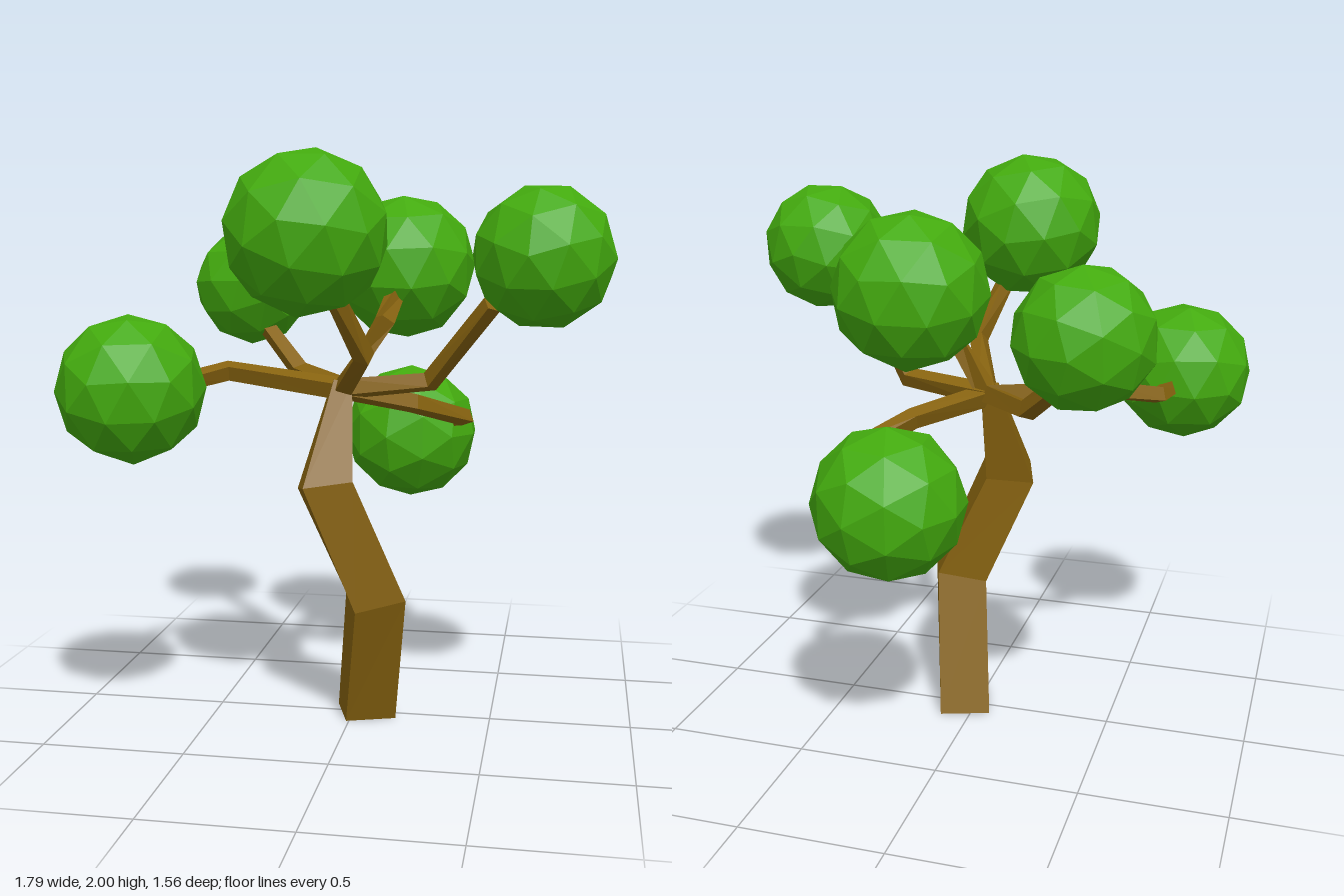
import * as THREE from 'three';

// Four-sided tapering limb: a square section swept along points [x, y, z, cornerRadius]
function limbGeometry(points, ref, turn = 0, flatStart = false) {
  const centres = points.map(([x, y, z]) => new THREE.Vector3(x, y, z));
  const rings = centres.map((c, i) => {
    const t = new THREE.Vector3();
    if (i > 0) t.add(c.clone().sub(centres[i - 1]).normalize());
    if (i < centres.length - 1) t.add(centres[i + 1].clone().sub(c).normalize());
    if (i === 0 && flatStart) t.set(0, 1, 0);
    t.normalize();
    const u = ref.clone().addScaledVector(t, -ref.dot(t)).normalize();
    const v = t.clone().cross(u);
    return [0, 1, 2, 3].map((k) => {
      const a = turn + k * Math.PI / 2;
      return c.clone()
        .addScaledVector(u, Math.cos(a) * points[i][3])
        .addScaledVector(v, Math.sin(a) * points[i][3]);
    });
  });

  const corners = [];
  const quad = (a, b, c, d) => corners.push(a, b, c, a, c, d);
  for (let i = 0; i < rings.length - 1; i++) {
    for (let k = 0; k < 4; k++) {
      const n = (k + 1) % 4;
      quad(rings[i][k], rings[i][n], rings[i + 1][n], rings[i + 1][k]);
    }
  }
  const [s, e] = [rings[0], rings[rings.length - 1]];
  quad(s[3], s[2], s[1], s[0]);
  quad(e[0], e[1], e[2], e[3]);

  const geometry = new THREE.BufferGeometry().setFromPoints(corners);
  geometry.computeVertexNormals();
  return geometry;
}

export function createModel() {
  const tree = new THREE.Group();
  tree.name = 'tree';
  const bark = new THREE.MeshStandardMaterial({ color: 0x86620f, flatShading: true });
  const leaves = new THREE.MeshStandardMaterial({ color: 0x43aa0e, flatShading: true });

  const add = (name, geometry, material) => {
    const mesh = new THREE.Mesh(geometry, material);
    mesh.name = name;
    tree.add(mesh);
    return mesh;
  };

  // Crooked trunk
  const trunkPath = [
    [0.047, 0, -0.005, 0.128],
    [0.1, 0.475, 0.133, 0.128],
    [-0.07, 0.88, 0.185, 0.122],
    [-0.035, 1.22, 0.05, 0.046],
  ];
  add('trunk', limbGeometry(trunkPath, new THREE.Vector3(-0.057, 0, 0.115), 0, true), bark);

  // Each branch leaves the fork, bends, and carries one ball of leaves
  const fork = [-0.03, 1.2, 0.05];
  const limbs = [
    { name: 'frontTop', ball: [-0.06, 1.74, 0.525], r: 0.264,
      path: [[0.09, 1.34, 0.33], [0.02, 1.54, 0.47]] },
    { name: 'backTop', ball: [0.14, 1.62, -0.285], r: 0.264,
      path: [[0.115, 1.44, 0.03], [0.14, 1.55, -0.11]] },
    { name: 'leftTop', ball: [0.665, 1.665, 0.285], r: 0.234,
      path: [[0.28, 1.235, 0.08], [0.5, 1.51, 0.25]] },
    { name: 'backRight', ball: [-0.478, 1.54, -0.47], r: 0.228,
      path: [[-0.24, 1.23, -0.22], [-0.4, 1.38, -0.37]] },
    { name: 'frontRight', ball: [-0.66, 1.235, 0.47], r: 0.247,
      path: [[-0.45, 1.255, 0.03], [-0.62, 1.215, 0.16], [-0.65, 1.22, 0.3]] },
    { name: 'backLow', ball: [0.14, 0.972, -0.525], r: 0.258,
      path: [[0.2, 1.135, -0.1], [0.37, 1.055, -0.33], [0.3, 1.04, -0.42]] },
  ];
  const up = new THREE.Vector3(0, 1, 0);
  limbs.forEach(({ name, ball, r, path }, i) => {
    const points = [[...fork, 0.042], ...path.map((p, k) => [...p, k === 0 ? 0.038 : 0.034])];
    add(name + 'Branch', limbGeometry(points, up, 0.45), bark);

    const leafBall = add(name + 'Leaves', new THREE.IcosahedronGeometry(r, 1), leaves);
    leafBall.position.set(...ball);
    leafBall.rotation.set(0.4 + i * 0.7, i * 1.1, 0.25);
  });

  return tree;
}
